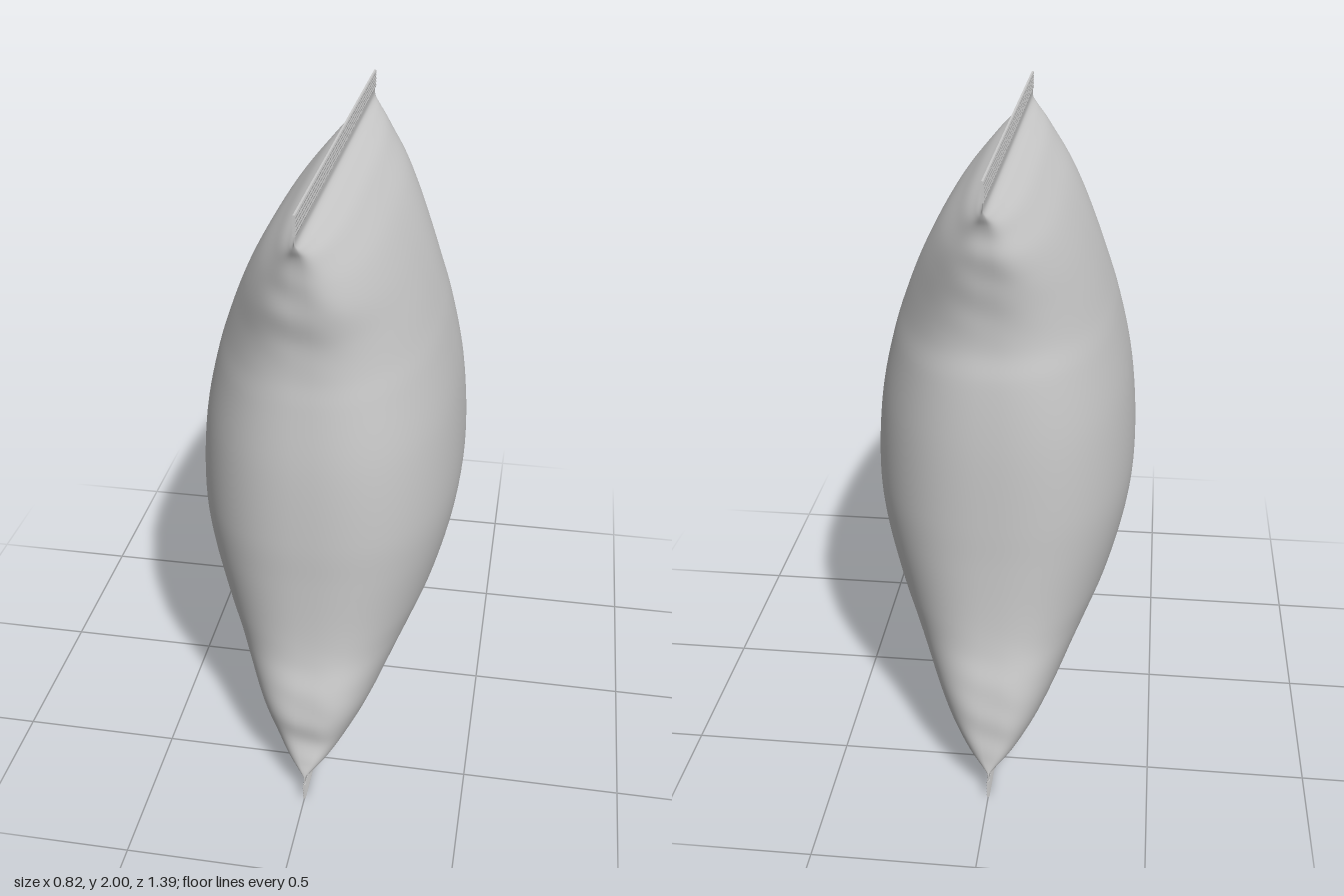
import * as THREE from 'three';

const grey = new THREE.MeshStandardMaterial({ color: 0xcccccc, side: THREE.DoubleSide });

// Bag outline by height: [y, half depth x, half width at +z, half width at -z]
const outline = [
  [0.055, 0.004, 0.695, 0.695], [0.08, 0.008, 0.692, 0.692], [0.105, 0.055, 0.688, 0.688],
  [0.14, 0.108, 0.678, 0.682], [0.21, 0.163, 0.664, 0.676], [0.3, 0.212, 0.67, 0.671],
  [0.4, 0.26, 0.659, 0.658], [0.5, 0.308, 0.637, 0.638], [0.6, 0.348, 0.63, 0.63],
  [0.8, 0.397, 0.635, 0.63], [0.95, 0.41, 0.643, 0.635], [1.2, 0.391, 0.645, 0.64],
  [1.4, 0.345, 0.633, 0.632], [1.5, 0.311, 0.626, 0.62], [1.6, 0.271, 0.63, 0.626],
  [1.7, 0.222, 0.65, 0.645], [1.78, 0.172, 0.658, 0.662], [1.84, 0.12, 0.668, 0.668],
  [1.875, 0.084, 0.676, 0.676], [1.9, 0.045, 0.686, 0.686], [1.922, 0.008, 0.692, 0.692],
  [1.945, 0.004, 0.695, 0.695],
];

const frontCurve = new THREE.CatmullRomCurve3(outline.map(([y, x, zf]) => new THREE.Vector3(x, y, zf)));
const backCurve = new THREE.CatmullRomCurve3(outline.map(([y, x, , zb]) => new THREE.Vector3(x, y, zb)));

const bump = (v, centre, width) => Math.exp(-(((v - centre) / width) ** 2));

function bagGeometry(rows = 132, cols = 128) {
  const pos = [], index = [];
  for (let i = 0; i <= rows; i++) {
    const front = frontCurve.getPoint(i / rows), back = backCurve.getPoint(i / rows);
    const y = front.y;
    // Oval section at mid height, slightly boxier towards the corners
    const low = bump(y, 0.2, 0.22), high = bump(y, 1.86, 0.25);
    const e = 2 / (2.42 + 0.75 * low + 0.4 * high);
    for (let j = 0; j < cols; j++) {
      const a = (j / cols) * Math.PI * 2;
      const c = Math.cos(a), s = Math.sin(a);
      const x = Math.sign(c) * Math.abs(c) ** e * front.x;
      let z = Math.sign(s) * Math.abs(s) ** e * (s > 0 ? front.z : back.z);
      // Faint slanted crumples on the narrow sides near the corners
      z += Math.sign(s) * Math.abs(s) ** 12 * (low + high) * 0.0015 * Math.sin(y * 50 + x * 25 * Math.sign(s));
      pos.push(x, y, z);
      if (i < rows) {
        const p = i * cols + j, q = i * cols + ((j + 1) % cols);
        index.push(p, p + cols, q, q, p + cols, q + cols);
      }
    }
  }
  const geo = new THREE.BufferGeometry();
  geo.setAttribute('position', new THREE.Float32BufferAttribute(pos, 3));
  geo.setIndex(index);
  geo.computeVertexNormals();
  return geo;
}

// Flat crimped strip: a finely ribbed profile extruded across the bag
function sealGeometry(y0, y1, ribs = 5) {
  const shape = new THREE.Shape();
  const step = (y1 - y0) / (ribs * 2);
  const thick = (i) => (i % 2 ? 0.005 : 0.003);
  shape.moveTo(thick(0), y0);
  for (let i = 1; i <= ribs * 2; i++) shape.lineTo(thick(i), y0 + i * step);
  for (let i = ribs * 2; i >= 0; i--) shape.lineTo(-thick(i), y0 + i * step);
  const geo = new THREE.ExtrudeGeometry(shape, { depth: 1.39, bevelEnabled: false });
  return geo.translate(0, 0, -0.695);
}

export function createModel() {
  const group = new THREE.Group();
  group.name = 'pillowBag';
  const add = (name, geo) => {
    const mesh = new THREE.Mesh(geo, grey);
    mesh.name = name;
    group.add(mesh);
  };
  add('bagBody', bagGeometry());
  add('bottomSeal', sealGeometry(0, 0.06));
  add('topSeal', sealGeometry(1.942, 2));
  return group;
}
